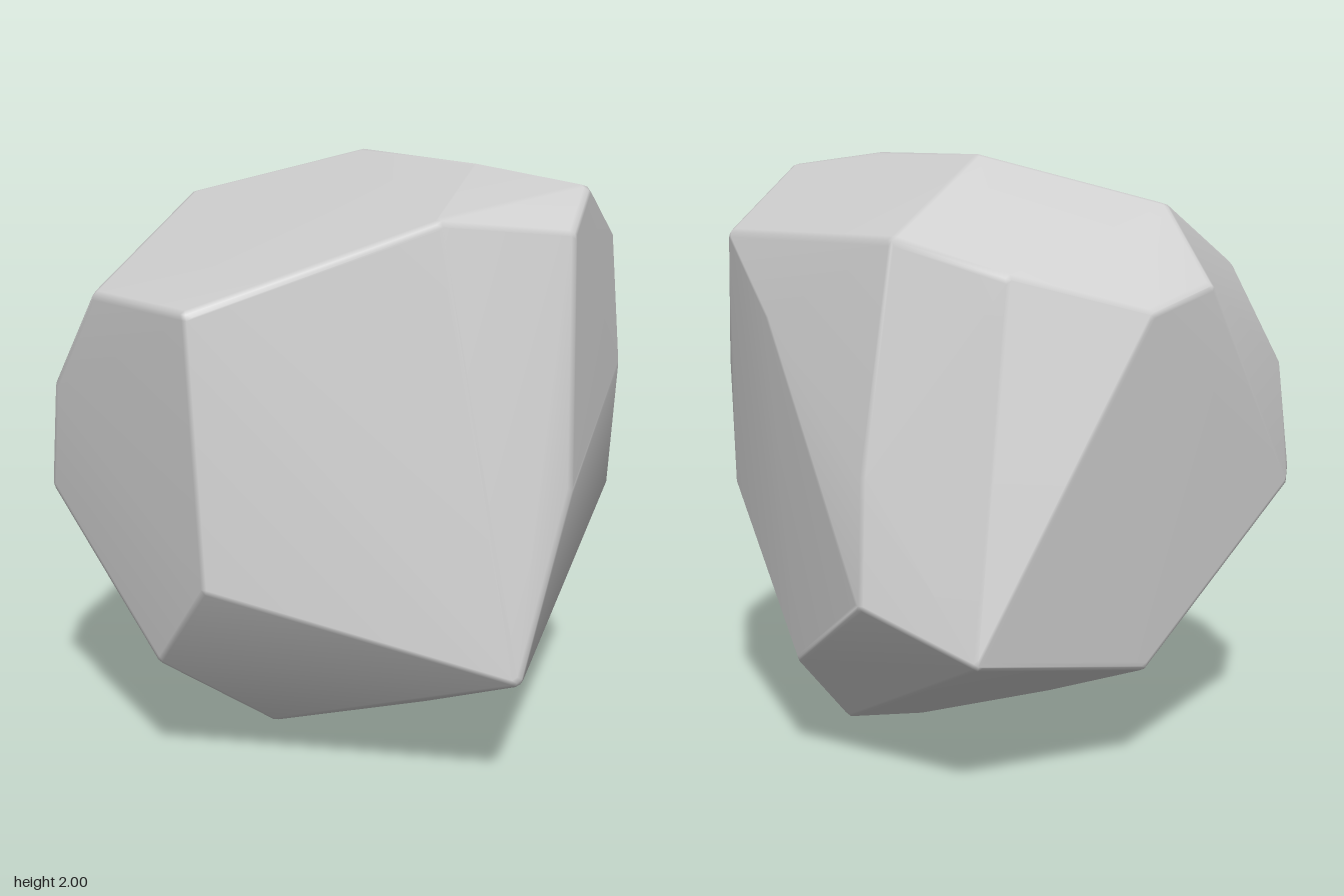
import * as THREE from 'three';
import { ConvexGeometry } from 'three/addons/geometries/ConvexGeometry.js';
import { mergeVertices } from 'three/addons/utils/BufferGeometryUtils.js';

const BEVEL = 0.035;

// Corners of the boulder, grouped by the region they bound
const topCorners = [
  [-0.31, 1.88, 0.6], [0.14, 2, 0.42], [0.28, 2, -0.19], [-0.07, 1.84, -0.7],
  [-0.8, 1.6, -0.45], [-0.89, 1.61, 0.05], [0, 1.84, 0.88], [0.2, 1.95, 0.8],
];
const shoulderCorners = [
  [0.65, 1.74, 0.62], [0.76, 1.49, 0.31], [0.7, 1.75, -0.22],
  [0.55, 1.64, -0.57], [0.25, 1.53, -0.89], [0, 1.6, -0.93],
];
const sideCorners = [
  [0.6, 1.3, 0.7], [0.62, 0.85, 0.66], [-0.08, 1.03, 0.955], [-0.3, 0.43, 0.92],
  [-0.935, 0.74, 0.15], [0.93, 0.62, -0.3], [0.87, 1.02, -0.25], [0.78, 0.47, -0.64],
  [-0.42, 0.92, -0.955], [-0.76, 0.89, -0.74], [-0.78, 1.26, -0.68],
];
const bottomCorners = [
  [0.81, 0.34, 0.12], [0.65, 0.13, 0.06], [0.2, 0, 0.18], [-0.2, 0.05, -0.1],
  [-0.5, 0.13, 0.05], [-0.87, 0.42, -0.12], [0.15, 0.36, -0.8],
];

// Unique points of a small sphere, used to round every corner and edge
function sphereOffsets(radius) {
  const p = new THREE.IcosahedronGeometry(radius, 1).attributes.position;
  const unique = new Map();
  for (let i = 0; i < p.count; i++) {
    const v = new THREE.Vector3().fromBufferAttribute(p, i);
    unique.set(v.toArray().map((n) => Math.round(n * 1e5)).join(), v);
  }
  return [...unique.values()];
}

// Convex hull of a ball at each corner: flat facets joined by soft bevels
function roundedHull(corners, radius) {
  const centre = new THREE.Vector3(0, 1, 0);
  const offsets = sphereOffsets(radius);
  const points = [];
  for (const c of corners) {
    const v = new THREE.Vector3(...c);
    v.addScaledVector(v.clone().sub(centre).normalize(), -radius);
    for (const o of offsets) points.push(v.clone().add(o));
  }
  let geometry = new ConvexGeometry(points);
  geometry.deleteAttribute('normal');
  geometry = mergeVertices(geometry, 1e-5);
  geometry.computeVertexNormals(); // area weighted, so facets stay flat
  return geometry;
}

export function createModel() {
  const group = new THREE.Group();
  group.name = 'boulder';
  const corners = [...topCorners, ...shoulderCorners, ...sideCorners, ...bottomCorners];
  const rock = new THREE.Mesh(
    roundedHull(corners, BEVEL),
    new THREE.MeshStandardMaterial({ color: 0xcccccc }),
  );
  rock.name = 'rock';

  // Settle on the ground, centred
  rock.geometry.computeBoundingBox();
  const box = rock.geometry.boundingBox;
  const mid = box.getCenter(new THREE.Vector3());
  rock.geometry.translate(-mid.x, -box.min.y, -mid.z);
  group.add(rock);
  return group;
}
